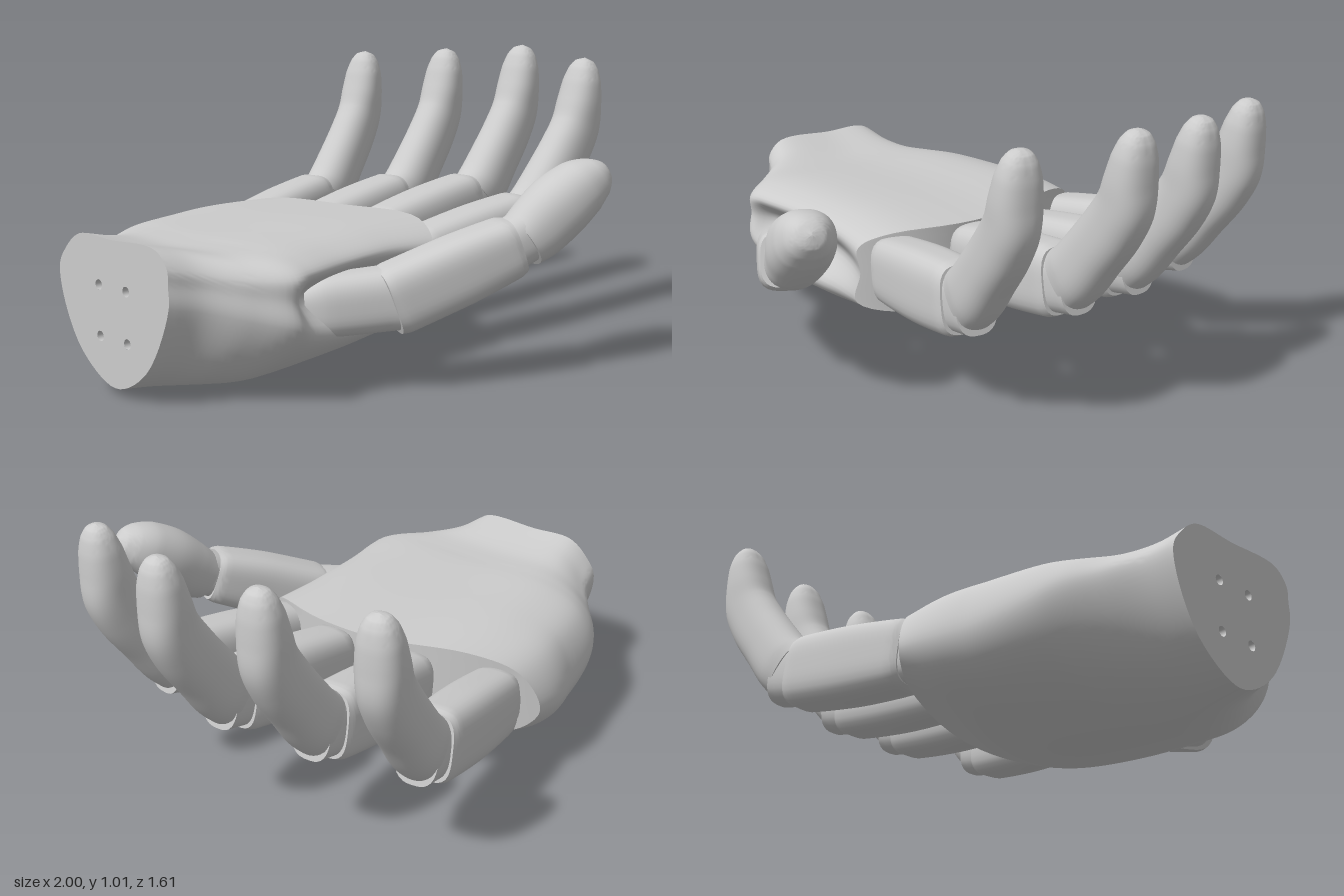
import * as THREE from 'three';
import { toCreasedNormals, mergeVertices } from 'three/addons/utils/BufferGeometryUtils.js';

const material = new THREE.MeshStandardMaterial({ color: 0xcccccc });
const V = (x, y, z) => new THREE.Vector3(x, y, z);

// Joins rings of points into one surface.
function skin(rings, crease = 0.6) {
  const n = rings[0].length, pos = [], index = [];
  for (const ring of rings) for (const p of ring) pos.push(p.x, p.y, p.z);
  for (let i = 0; i < rings.length - 1; i++) {
    for (let j = 0; j < n; j++) {
      const a = i * n + j, b = i * n + (j + 1) % n;
      index.push(a, a + n, b, b, a + n, b + n);
    }
  }
  let g = new THREE.BufferGeometry();
  g.setAttribute('position', new THREE.Float32BufferAttribute(pos, 3));
  g.setIndex(index);
  g = mergeVertices(g, 1e-5);
  // drop collapsed triangles at the poles
  const id = g.index.array, keep = [];
  for (let i = 0; i < id.length; i += 3) {
    const [a, b, c] = [id[i], id[i + 1], id[i + 2]];
    if (a !== b && b !== c && a !== c) keep.push(a, b, c);
  }
  g.setIndex(keep);
  return toCreasedNormals(g, crease);
}

function add(parent, name, geometry) {
  const mesh = new THREE.Mesh(geometry, material);
  mesh.name = name;
  parent.add(mesh);
  return mesh;
}

// Sweeps a rounded-square section; each key is [x, y, z, halfThickness, halfWidth].
function limb(keys, sideHint, power = 2.4, steps = 24) {
  const path = new THREE.CatmullRomCurve3(keys.map(k => V(k[0], k[1], k[2])));
  const size = new THREE.CatmullRomCurve3(keys.map(k => V(k[3], k[4], 0)));
  const rings = [];
  for (let i = 0; i <= steps; i++) {
    const c = path.getPoint(i / steps), s = size.getPoint(i / steps), t = path.getTangent(i / steps);
    const side = sideHint.clone().addScaledVector(t, -sideHint.dot(t)).normalize();
    const up = side.clone().cross(t);
    const ring = [];
    for (let j = 0; j < 40; j++) {
      const a = j / 40 * Math.PI * 2, ca = Math.cos(a), sa = Math.sin(a);
      const r = Math.pow(Math.abs(ca) ** power + Math.abs(sa) ** power, -1 / power);
      ring.push(c.clone().addScaledVector(side, Math.max(0, s.y) * ca * r)
        .addScaledVector(up, Math.max(0, s.x) * sa * r));
    }
    if (i === 0) rings.push(ring.map(() => c.clone()));
    rings.push(ring);
    if (i === steps) rings.push(ring.map(() => c.clone()));
  }
  return skin(rings);
}

// Curved finger edge of the palm.
const palmEnd = z => 0.115 - (z < -0.02 ? 0.49 : 1.1) * (z + 0.02) ** 2;

// Palm stations: x, zBack, zThumb, ySide, yTop, yBottom, thumb groove depth.
const stations = [
  [-1, -0.44, 0.12, 0.34, 0.52, 0.03, 0],
  [-0.9, -0.47, 0.17, 0.32, 0.495, 0.02, 0],
  [-0.8, -0.54, 0.28, 0.29, 0.477, 0.01, 0],
  [-0.7, -0.62, 0.375, 0.26, 0.477, 0.002, 0.01],
  [-0.62, -0.66, 0.37, 0.23, 0.48, 0, 0.08],
  [-0.45, -0.7, 0.34, 0.20, 0.48, 0.003, 0.1],
  [-0.25, -0.73, 0.325, 0.195, 0.48, 0.02, 0.08],
  [-0.1, -0.74, 0.32, 0.20, 0.477, 0.05, 0.05],
  [0.115, -0.74, 0.33, 0.21, 0.47, 0.145, 0.01],
];

function palmRings() {
  const tracks = Array.from({ length: 12 }, () => []);
  for (const [x, zb, zt, ys, yt, yb, groove] of stations) {
    const mid = (zb + zt) / 2, w = (zt - zb) / 2, h = ys - yb;
    [
      [zt, ys], [zt - groove, ys + (yt - ys) * 0.42], [zt - w * 0.01, yt - 0.055], [zt - w * 0.2, yt - 0.003],
      [mid, yt - 0.004], [zb + w * 0.4, yt - 0.008], [zb + w * 0.12, yt - 0.07], [zb, ys + 0.05],
      [zb + w * 0.1, yb + h * 0.72], [mid - w * 0.58, yb + h * 0.27], [mid, yb], [mid + w * 0.58, yb + h * 0.27],
    ].forEach(([z, y], i) => tracks[i].push(V(x, y, z)));
  }
  const curves = tracks.map(t => new THREE.CatmullRomCurve3(t));
  const rings = [];
  for (let i = 0; i <= 48; i++) {
    const section = new THREE.CatmullRomCurve3(curves.map(c => c.getPoint(i / 48)), true);
    rings.push(Array.from({ length: 84 }, (_, j) => {
      const p = section.getPoint(j / 84);
      if (p.x > -0.4) p.x = -0.4 + (p.x + 0.4) / 0.515 * (palmEnd(p.z) + 0.4);
      return p;
    }));
  }
  return rings;
}

function buildPalm(hand) {
  const rings = palmRings(), wrist = rings[0], rim = rings[rings.length - 1];
  // finger face, closed with shrinking rings that follow the curved edge
  for (const s of [0.97, 0.8, 0.6, 0.4, 0.2, 0]) {
    rings.push(rim.map(p => {
      const z = -0.2 + (p.z + 0.2) * s;
      return V(palmEnd(z), 0.32 + (p.y - 0.32) * s, z);
    }));
  }
  add(hand, 'palm', skin(rings, 0.8));

  // wrist plate with four screw holes
  const plate = new THREE.Shape(wrist.map(p => new THREE.Vector2(p.z, p.y)));
  const boreMaterial = new THREE.MeshStandardMaterial({ color: 0xcccccc, side: THREE.BackSide });
  for (const z of [-0.23, -0.09]) for (const y of [0.19, 0.36]) {
    plate.holes.push(new THREE.Path().absarc(z, y, 0.017, 0, Math.PI * 2, true));
    const bore = add(hand, 'screwHole', new THREE.CylinderGeometry(0.017, 0.017, 0.06, 16, 1, true));
    bore.material = boreMaterial;
    bore.rotation.z = Math.PI / 2;
    bore.position.set(-0.97, y, z);
    const floor = add(hand, 'screwHoleFloor', new THREE.CircleGeometry(0.017, 16));
    floor.rotation.y = -Math.PI / 2;
    floor.position.set(-0.94, y, z);
  }
  const face = add(hand, 'wristPlate', new THREE.ShapeGeometry(plate, 16));
  face.rotation.y = -Math.PI / 2;
  face.position.x = -1;
}

function buildFinger(hand, name, dx, dy, z, yaw) {
  const finger = new THREE.Group();
  finger.name = name;
  const part = (label, keys, power, steps) => add(finger, label,
    limb(keys.map(([x, y, t, w]) => [x, y, 0, t, w]), V(0, 0, 1), power, steps));
  part('knuckle', [[-0.1, 0.3, 0.085, 0.07], [0.08, 0.33, 0.1, 0.078]], 2.8, 4);
  part('lowerSegment', [[0.025, 0.33, 0.105, 0.08], [0.05, 0.333, 0.118, 0.09], [0.3, 0.365, 0.13, 0.096],
    [0.5, 0.393, 0.125, 0.09], [0.53, 0.398, 0.115, 0.083]], 3.4);
  part('joint', [[0.5, 0.393, 0.108, 0.076], [0.61, 0.417, 0.108, 0.076]], 2.8, 4);
  part('fingertip', [[0.568, 0.418, 0.11, 0.08], [0.61, 0.455, 0.108, 0.086], [0.685, 0.547, 0.103, 0.083],
    [0.765, 0.65, 0.101, 0.08], [0.815, 0.735, 0.094, 0.079], [0.834, 0.82, 0.079, 0.079],
    [0.847, 0.9, 0.064, 0.071], [0.854, 0.95, 0.048, 0.055], [0.858, 0.978, 0.029, 0.034],
    [0.86, 0.99, 0, 0]], 2.4, 45);
  finger.position.set(dx, dy, z);
  finger.rotation.y = yaw;
  hand.add(finger);
}

function buildThumb(hand) {
  const thumb = new THREE.Group();
  thumb.name = 'thumb';
  const side = V(-0.5, 0, 0.86);
  const part = (label, keys, power, steps) => add(thumb, label, limb(keys, side, power, steps));
  part('thumbBase', [[-0.54, 0.285, 0.24, 0.075, 0.07], [-0.49, 0.29, 0.29, 0.1, 0.085],
    [-0.32, 0.31, 0.43, 0.104, 0.09]], 3, 12);
  part('thumbLowerSegment', [[-0.35, 0.298, 0.42, 0.108, 0.093], [-0.32, 0.31, 0.436, 0.115, 0.098],
    [-0.15, 0.383, 0.535, 0.113, 0.1], [0.01, 0.448, 0.62, 0.1, 0.096], [0.03, 0.456, 0.631, 0.092, 0.088]], 3.4);
  part('thumbJoint', [[0, 0.445, 0.615, 0.086, 0.08], [0.1, 0.49, 0.65, 0.086, 0.08]], 2.6, 4);
  part('thumbTip', [[0.06, 0.46, 0.637, 0.092, 0.087], [0.12, 0.5, 0.654, 0.106, 0.096],
    [0.2, 0.565, 0.68, 0.11, 0.108], [0.285, 0.622, 0.706, 0.097, 0.1], [0.34, 0.652, 0.726, 0.072, 0.077],
    [0.372, 0.668, 0.737, 0.042, 0.047], [0.386, 0.675, 0.742, 0, 0]], 2.3, 36);
  hand.add(thumb);
}

export function createModel() {
  const hand = new THREE.Group();
  hand.name = 'hand';
  buildPalm(hand);
  buildFinger(hand, 'indexFinger', 0, 0, 0.21, -0.12);
  buildFinger(hand, 'middleFinger', 0.091, 0.02, -0.055, 0);
  buildFinger(hand, 'ringFinger', 0.023, -0.01, -0.34, 0.06);
  buildFinger(hand, 'littleFinger', -0.09, -0.035, -0.61, 0.145);
  buildThumb(hand);
  return hand;
}
